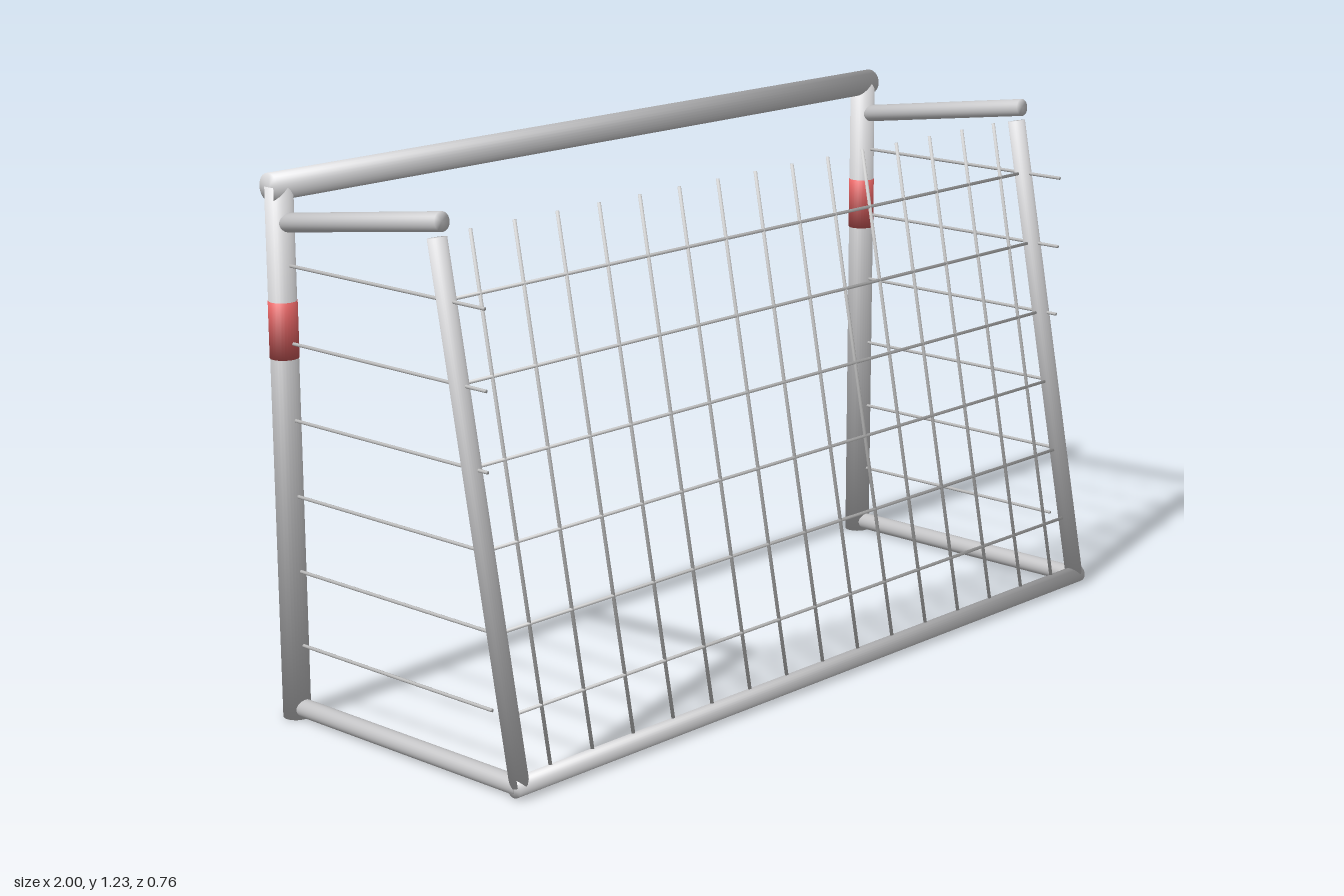
import * as THREE from 'three';

export function createModel() {
  const model = new THREE.Group();
  model.name = 'goal';

  const material = (name, color) => {
    const m = new THREE.MeshStandardMaterial({ color });
    m.name = name;
    return m;
  };
  const paint = material('light grey paint', 0xdadadc);
  const red = material('red band', 0xe46464);
  const cord = material('pale net cord', 0xd0d0d0);

  // Cylinder whose normals run smoothly over the rim into the caps
  function softCylinder(radius, length, sides) {
    const geometry = new THREE.CylinderGeometry(radius, radius, length, sides);
    const { position, normal } = geometry.attributes;
    const n = new THREE.Vector3();
    for (let i = 0; i < position.count; i++) {
      n.fromBufferAttribute(position, i);
      n.set(n.x / radius, Math.sign(n.y), n.z / radius).normalize();
      normal.setXYZ(i, n.x, n.y, n.z);
    }
    return geometry;
  }

  // Straight round bar between two points
  function bar(name, from, to, radius, mat, sides = 28, parent = model) {
    const a = new THREE.Vector3(...from);
    const b = new THREE.Vector3(...to);
    const dir = b.clone().sub(a);
    const mesh = new THREE.Mesh(softCylinder(radius, dir.length(), sides), mat);
    mesh.position.copy(a).add(b).multiplyScalar(0.5);
    mesh.quaternion.setFromUnitVectors(new THREE.Vector3(0, 1, 0), dir.normalize());
    mesh.name = name;
    parent.add(mesh);
  }

  const postX = 0.968, postZ = -0.348, postR = 0.031, barR = 0.021;
  const footY = 0.024, footZ = 0.363;
  const topY = 1.153, topZ = 0.147;
  // Depth of the sloping net at a given height
  const slopeZ = y => footZ + (topZ - footZ) * (y - footY) / (topY - footY);

  // Crossbar and ground bar
  bar('crossbar', [-0.995, 1.196, postZ], [0.995, 1.196, postZ], postR, paint);
  bar('groundBar', [-0.985, footY, footZ], [0.985, footY, footZ], barR, paint);

  const net = new THREE.Group();
  net.name = 'net';
  model.add(net);
  const rows = Array.from({ length: 6 }, (_, i) => 0.171 + i * 0.171);

  // Side frames with their net cords
  for (const [side, s] of [['left', 1], ['right', -1]]) {
    const x = s * postX;
    bar(side + 'Post', [x, 0, postZ], [x, 1.196, postZ], postR, paint);
    bar(side + 'PostBand', [x, 0.82, postZ], [x, 0.946, postZ], postR + 0.001, red);
    bar(side + 'TopArm', [x, 1.116, postZ], [x, 1.188, 0.163], barR, paint);
    bar(side + 'Strut', [x, footY, footZ], [x, topY, topZ], barR, paint);
    bar(side + 'GroundArm', [x, footY, postZ], [x, footY, footZ], barR, paint);
    for (const y of rows) {
      bar(side + 'SideCord', [x, y, postZ], [x, y, 0.284], 0.004, cord, 8, net);
    }
  }

  // Sloping net between the struts
  for (const y of rows) {
    bar('rowCord', [-postX, y, slopeZ(y)], [postX, y, slopeZ(y)], 0.004, cord, 8, net);
  }
  for (let i = -7; i <= 7; i++) {
    bar('columnCord', [i * 0.125, footY, footZ], [i * 0.125, 1.158, slopeZ(1.158)], 0.004, cord, 8, net);
  }
  return model;
}
